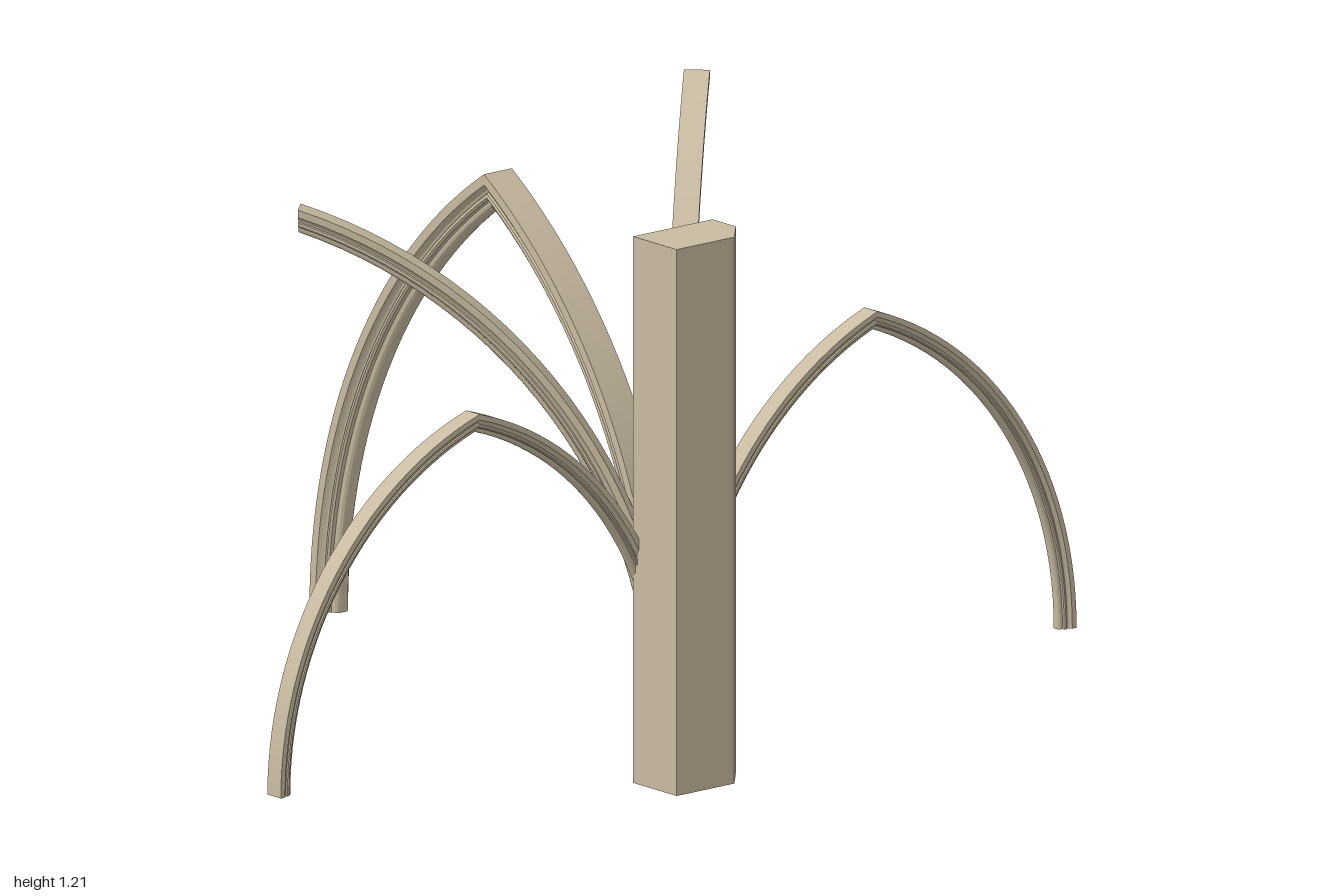
import * as THREE from 'three';

const SPRING = 0.125; // height where the arcs begin
const PIER_BACK = 0.455; // z of the pier's back face
const STEPS = 28;

// Half of the moulded rib section: [depth, half width], both 0..1,
// from the flat top down the side to the roll at the bottom
const HALF = [
  [0, 1], [0.3, 1], [0.36, 0.86], [0.44, 0.72], [0.52, 0.66], [0.56, 0.78],
  [0.66, 0.82], [0.73, 0.72], [0.76, 0.52], [0.82, 0.5], [0.9, 0.46], [0.97, 0.34], [1, 0.16],
];
const SECTION = [
  [0, -1],
  ...HALF,
  ...HALF.slice(1).reverse().map(([d, w]) => [d, -w]),
];

// One curved leg of a pointed arch in the local xy plane: the top edge starts
// at x = 0 and rises to x = half, where it is cut off vertically.
function legGeometry({ half, top, depth, width }, toGround) {
  const rise = top - SPRING;
  const R = (half * half + rise * rise) / (2 * half);
  const section = SECTION.map(([d, w]) => new THREE.Vector2(d * depth, w * width / 2));

  const point = (p, t) => {
    if (t < 0) return [p.x, 0, p.y];
    const r = R - p.x;
    const a = t * Math.acos((R - half) / r);
    return [R - r * Math.cos(a), SPRING + r * Math.sin(a), p.y];
  };
  const stations = toGround ? [-1] : [];
  for (let i = 0; i <= STEPS; i++) stations.push(i / STEPS);

  const pos = [];
  const index = [];
  // One strip per section edge, so edges stay sharp and the curve smooth
  section.forEach((p, k) => {
    const q = section[(k + 1) % section.length];
    stations.forEach((t, i) => {
      const n = pos.length / 3;
      pos.push(...point(p, t), ...point(q, t));
      if (i > 0) index.push(n - 2, n - 1, n + 1, n - 2, n + 1, n);
    });
  });
  // End caps
  const faces = THREE.ShapeUtils.triangulateShape(section, []);
  [stations[0], 1].forEach((t, end) => {
    const base = pos.length / 3;
    section.forEach((p) => pos.push(...point(p, t)));
    faces.forEach(([a, b, c]) => {
      const facesDown = THREE.ShapeUtils.area([section[a], section[b], section[c]]) > 0;
      const keep = facesDown === (end === 0);
      index.push(base + a, base + (keep ? b : c), base + (keep ? c : b));
    });
  });

  const g = new THREE.BufferGeometry();
  g.setAttribute('position', new THREE.Float32BufferAttribute(pos, 3));
  g.setIndex(index);
  g.computeVertexNormals();
  return g;
}

// A rib springing from the pier; a full arch adds the mirrored far leg
function makeRib(name, spec, material) {
  const rib = new THREE.Group();
  rib.name = name;
  const near = new THREE.Mesh(legGeometry(spec, true), material);
  near.name = name + 'NearLeg';
  rib.add(near);
  if (spec.full) {
    const far = new THREE.Mesh(legGeometry(spec, false), material);
    far.name = name + 'FarLeg';
    far.rotation.y = Math.PI;
    far.position.x = spec.half * 2;
    rib.add(far);
  }
  rib.rotation.y = spec.angle;
  rib.position.z = spec.z;
  return rib;
}

export function createModel() {
  const model = new THREE.Group();
  model.name = 'vaultRibsOnPier';
  const stone = new THREE.MeshStandardMaterial({ color: 0xc9bba2 });
  stone.name = 'sandstone';

  // Pier with one chamfered front corner
  const plan = new THREE.Shape([
    [-0.1, -0.585], [0.045, -0.585], [0.1, -0.525], [0.1, -PIER_BACK], [-0.1, -PIER_BACK],
  ].map(([x, y]) => new THREE.Vector2(x, y)));
  const pierGeometry = new THREE.ExtrudeGeometry(plan, { depth: 1.085, bevelEnabled: false });
  pierGeometry.rotateX(-Math.PI / 2);
  const pier = new THREE.Mesh(pierGeometry, stone);
  pier.name = 'pier';
  model.add(pier);

  // Ribs: wall arches to both sides, diagonals, and the transverse arch
  const wall = { half: 0.5, depth: 0.036, width: 0.04, z: 0.453, full: true };
  const diagonal = { half: 0.721, depth: 0.047, width: 0.05, z: PIER_BACK };
  const turn = Math.atan2(0.52, 0.5);
  const ribs = {
    leftWallRib: { ...wall, top: 0.838, angle: 0 },
    rightWallRib: { ...wall, top: 0.803, angle: Math.PI },
    leftDiagonalRib: { ...diagonal, top: 1.21, angle: turn },
    rightDiagonalRib: { ...diagonal, top: 1.107, angle: Math.PI - turn },
    transverseRib: {
      half: 0.52, top: 1.093, depth: 0.06, width: 0.07, z: PIER_BACK, full: true, angle: Math.PI / 2,
    },
  };
  for (const [name, spec] of Object.entries(ribs)) model.add(makeRib(name, spec, stone));

  return model;
}
